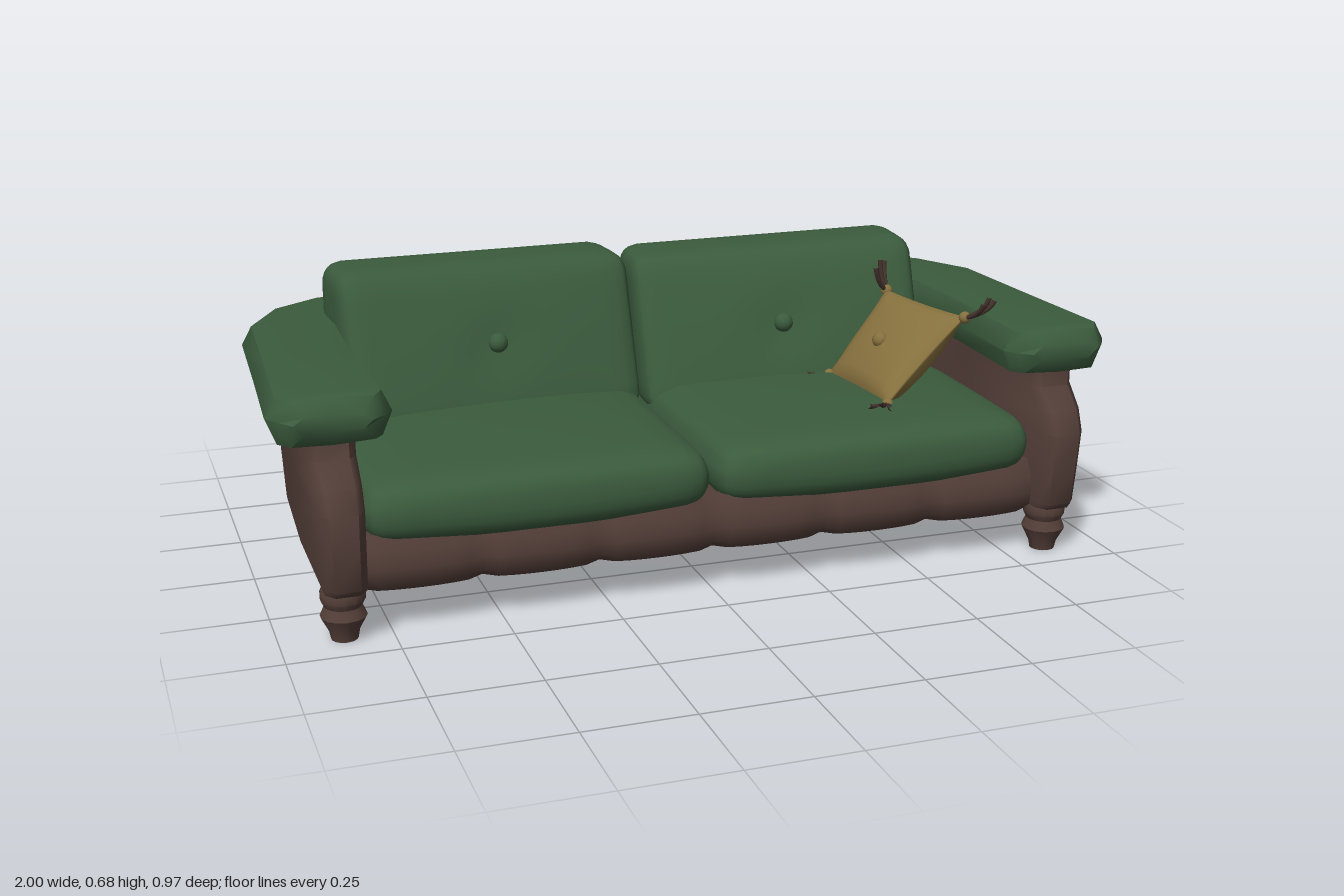
import * as THREE from 'three';
import { mergeVertices, toCreasedNormals } from 'three/addons/utils/BufferGeometryUtils.js';

const mat = (color) => new THREE.MeshStandardMaterial({ color });
const green = mat(0x3b5b3d), brown = mat(0x533e38), gold = mat(0x86703e), dark = mat(0x46342e);
const lerp = THREE.MathUtils.lerp;

function add(parent, name, geometry, material, x = 0, y = 0, z = 0) {
  const m = new THREE.Mesh(geometry, material);
  m.name = name;
  m.position.set(x, y, z);
  parent.add(m);
  return m;
}

// Skin a list of closed rings of [x, y, z], close both ends, face outwards
function loft(rings, crease = 0.9) {
  const n = rings[0].length, pos = rings.flat(2), idx = [];
  const quad = (a, b, c, d) => idx.push(a, b, c, a, c, d);
  for (let i = 0; i < rings.length - 1; i++)
    for (let j = 0; j < n; j++) {
      const a = i * n + j, b = i * n + (j + 1) % n;
      quad(a, b, b + n, a + n);
    }
  // end caps run as a ladder between the two halves of the ring
  const last = (rings.length - 1) * n;
  for (let j = 0; j < Math.floor(n / 2) - 1 + (n % 2); j++) {
    const k = n - 1 - j;
    quad(k, k - 1, j + 1, j);
    quad(last + j, last + j + 1, last + k - 1, last + k);
  }
  const P = (i) => new THREE.Vector3().fromArray(pos, i * 3);
  let volume = 0;
  for (let i = 0; i < idx.length; i += 3) volume += P(idx[i]).dot(P(idx[i + 1]).cross(P(idx[i + 2])));
  if (volume < 0) idx.reverse();
  const g = new THREE.BufferGeometry();
  g.setAttribute('position', new THREE.Float32BufferAttribute(pos, 3));
  g.setIndex(idx);
  return toCreasedNormals(g, crease);
}

// Rounded, finely divided box whose points are then moved by a rule
function softBox(h, r, seg, rule) {
  const g = new THREE.BoxGeometry(2, 2, 2, ...seg);
  g.deleteAttribute('normal');
  g.deleteAttribute('uv');
  const half = new THREE.Vector3(...h), p = new THREE.Vector3(), q = new THREE.Vector3();
  const inner = half.clone().subScalar(r), neg = inner.clone().negate(), a = g.attributes.position;
  for (let i = 0; i < a.count; i++) {
    p.fromBufferAttribute(a, i);
    p.set(...p.toArray().map((t) => Math.sin(t * Math.PI / 2))).multiply(half);
    q.copy(p).clamp(neg, inner);
    p.sub(q).setLength(r).add(q);
    rule(p);
    a.setXYZ(i, p.x, p.y, p.z);
  }
  const m = mergeVertices(g, 1e-5);
  m.computeVertexNormals();
  return m;
}

// Half a U plan from the front end to the back, completed by mirroring
const mirrorRings = (half) =>
  [...half, ...half.slice().reverse().map((ring) => ring.map(([x, y, z]) => [-x, y, z]))];

function frameShell() {
  // outer x, z, inner x, z, weight of the curved front profile
  const plan = [
    [0.9, 0.4, 0.828, 0.4, 1], [0.92, 0.375, 0.81, 0.375, 1], [0.92, 0.1, 0.79, 0.1, 0],
    [0.905, -0.22, 0.75, -0.2, 0], [0.885, -0.3, 0.735, -0.28, 0], [0.84, -0.37, 0.7, -0.335, 0],
    [0.74, -0.42, 0.64, -0.37, 0], [0.58, -0.43, 0.57, -0.38, 0],
  ];
  // height and forward bulge of the arm front
  const levels = [[0.12, 0.065], [0.135, 0.077], [0.22, 0.082], [0.31, 0.085], [0.36, 0.06], [0.41, 0.005], [0.46, 0]];
  return loft(mirrorRings(plan.map(([ox, oz, ix, iz, w]) => {
    const side = (x, z, taper) => levels.map(([y, f]) => {
      const d = taper * (0.46 - y);
      return [x * (1 - d), y, (z < 0 ? z * (1 - 2 * d) : z) + f * w];
    });
    return [...side(ox, oz, 0.06), ...side(ix, iz, 0).reverse()];
  })));
}

function topRail() {
  // outer x, z, inner x, z, vertical squeeze
  const plan = [
    [0.95, 0.445, 0.78, 0.445, 0.35], [0.975, 0.42, 0.75, 0.42, 0.95], [1, 0.38, 0.73, 0.39, 1],
    [0.985, 0.1, 0.74, 0.1, 1], [0.97, -0.22, 0.73, -0.24, 1], [0.89, -0.38, 0.69, -0.325, 1],
    [0.77, -0.468, 0.64, -0.36, 1], [0.58, -0.485, 0.57, -0.372, 1],
  ];
  // inset from the outer or inner edge (or the middle), height
  const section = [[0, 0.51], [0.024, 0.553], ['mid', 0.56], [-0.022, 0.553], [0, 0.505],
    [-0.022, 0.452], ['mid', 0.447], [0.024, 0.45]];
  return loft(mirrorRings(plan.map(([ox, oz, ix, iz, s]) => {
    const len = Math.hypot(ix - ox, iz - oz);
    return section.map(([d, y], i) => {
      const t = d === 'mid' ? 0.5 : (i > 2 && i < 6 ? 1 : 0) + d / len;
      return [lerp(ox, ix, t), 0.505 + (y - 0.505) * s, lerp(oz, iz, t)];
    });
  })));
}

// Padded front apron, pinched at its seams
function apron() {
  const rings = [], count = 48;
  for (let i = 0; i <= count; i++) {
    const x = lerp(-0.815, 0.815, i / count);
    const puff = Math.pow(Math.abs(Math.sin(i / count * Math.PI * 6)), 0.35);
    const f = 0.418 + 0.018 * puff, b = 0.104 - 0.006 * puff;
    rings.push([[x, 0.23, 0.375], [x, 0.23, f - 0.025], [x, 0.195, f - 0.005], [x, 0.155, f],
      [x, 0.12, f - 0.008], [x, b, f - 0.03], [x, b, 0.375]]);
  }
  return loft(rings);
}

function throwPillow() {
  const g = new THREE.Group();
  g.name = 'throwPillow';
  const [A, B, C, D] = [[0.468, 0.355, -0.03], [0.5, 0.355, 0.25], [0.705, 0.55, 0.235], [0.625, 0.56, -0.04]]
    .map((p) => new THREE.Vector3(...p));
  const n = new THREE.Vector3(-0.66, 0.75, 0);
  const place = (u, v, h) => {
    const low = A.clone().lerp(B, v), high = D.clone().lerp(C, v);
    return low.lerp(high, u).addScaledVector(n, h);
  };
  // two domed faces meeting along the seam, with the sides drawn in
  const box = new THREE.BoxGeometry(2, 2, 2, 14, 1, 14);
  box.deleteAttribute('normal');
  box.deleteAttribute('uv');
  const a = box.attributes.position;
  for (let i = 0; i < a.count; i++) {
    const x = a.getX(i), s = a.getY(i), z = a.getZ(i);
    const dome = Math.pow((1 - x * x) * (1 - z * z), 0.45);
    const u = 0.5 + 0.5 * x * (1 - 0.03 * (1 - z * z)), v = 0.5 + 0.5 * z * (1 - 0.04 * (1 - x * x));
    const p = place(u, v, s * (0.046 * dome + 0.003) - 0.016 * dome);
    a.setXYZ(i, p.x, p.y, p.z);
  }
  const body = mergeVertices(box, 1e-5);
  body.computeVertexNormals();
  add(g, 'pillowBody', body, gold);
  add(g, 'pillowButton', new THREE.SphereGeometry(0.02, 12, 8), gold, ...place(0.47, 0.47, 0.03).toArray());
  // corner knots, each with three curling tassel strands: corner, reach in x and z, rise, spread
  const corners = [[A, -0.055, -0.02, 0.02, 0.4], [B, -0.045, 0.055, 0.025, 0.4],
    [C, 0.035, 0.055, 0.06, 0.4], [D, -0.015, -0.012, 0.078, 2.2]];
  for (const [c, dx, dz, rise, spread] of corners) {
    add(g, 'tasselKnot', new THREE.SphereGeometry(0.015, 10, 8), gold, ...c.toArray());
    for (const k of [-1, 0, 1]) {
      const ex = dx - k * dz * spread, ez = dz + k * dx * spread, ey = rise - Math.abs(k) * 0.012;
      const path = new THREE.QuadraticBezierCurve3(c,
        c.clone().add(new THREE.Vector3(ex * 0.8, ey * 0.3, ez * 0.8)),
        c.clone().add(new THREE.Vector3(ex, ey, ez)));
      add(g, 'tasselStrand', new THREE.TubeGeometry(path, 6, 0.006, 6), dark);
    }
  }
  return g;
}

export function createModel() {
  const sofa = new THREE.Group();
  sofa.name = 'sofa';
  add(sofa, 'frameShell', frameShell(), brown);
  add(sofa, 'topRail', topRail(), green);
  add(sofa, 'frontApron', apron(), brown);

  // recessed underside with its rails
  add(sofa, 'basePanel', new THREE.BoxGeometry(1.56, 0.03, 0.65), brown, 0, 0.175, 0.005);
  add(sofa, 'backBaseRail', new THREE.BoxGeometry(1.5, 0.09, 0.03), brown, 0, 0.14, -0.31);

  const legProfile = [[0, 0], [0.03, 0], [0.034, 0.02], [0.052, 0.055], [0.042, 0.078], [0.05, 0.093], [0.05, 0.112], [0.042, 0.13], [0, 0.13]]
    .map((p) => new THREE.Vector2(...p));
  const leg = toCreasedNormals(new THREE.LatheGeometry(legProfile, 14), 0.6);

  // crowned seat with a bowed front and a slightly dropping front edge
  const seat = softBox([0.404, 0.07, 0.385], 0.066, [16, 8, 16], (p) => {
    const bx = 1 - (p.x / 0.404) ** 2, bz = 1 - (p.z / 0.385) ** 2;
    p.y += p.y > 0 ? 0.03 * Math.sqrt(Math.max(0, bx)) * (0.5 + 0.5 * bz) - 0.012 : -0.006 * bx;
    if (p.z > 0) p.z += 0.025 * bx - 0.006;
  });
  // back pad thicker at its foot, leaning, tufted in the middle
  const back = softBox([0.372, 0.19, 0.12], 0.05, [18, 14, 8], (p) => {
    const t = (p.y + 0.19) / 0.38, s = p.z / 0.12;
    const bulge = (1 - (p.x / 0.372) ** 2) * (1 - (p.y / 0.19) ** 2);
    const dent = Math.exp(-(p.x * p.x + p.y * p.y) / 0.004);
    p.z = lerp(-0.18, -0.258, t) + s * lerp(0.16, 0.092, t);
    if (s > 0) p.z += s * (0.018 * bulge - 0.018 * dent);
  });

  for (const s of [1, -1]) {
    const side = s > 0 ? 'left' : 'right';
    add(sofa, side + 'BaseRail', new THREE.BoxGeometry(0.05, 0.09, 0.7), brown, s * 0.775, 0.14, 0.025);
    add(sofa, side + 'FrontLeg', leg, brown, s * 0.857, 0, 0.4);
    add(sofa, side + 'BackLeg', leg, brown, s * 0.795, 0, -0.285);
    add(sofa, side + 'SeatCushion', seat, green, s * 0.406, 0.276, 0.05);
    const cushion = new THREE.Group();
    cushion.name = side + 'BackCushion';
    cushion.position.set(s > 0 ? 0.357 : -0.367, s > 0 ? 0.476 : 0.485, s > 0 ? 0 : -0.01);
    cushion.rotation.set(0, -s * 0.085, s > 0 ? 0.025 : -0.015);
    add(cushion, 'cushionPad', back, green);
    add(cushion, 'cushionButton', new THREE.SphereGeometry(0.024, 14, 10), green, 0, 0.01, -0.088);
    sofa.add(cushion);
  }
  sofa.add(throwPillow());
  return sofa;
}
